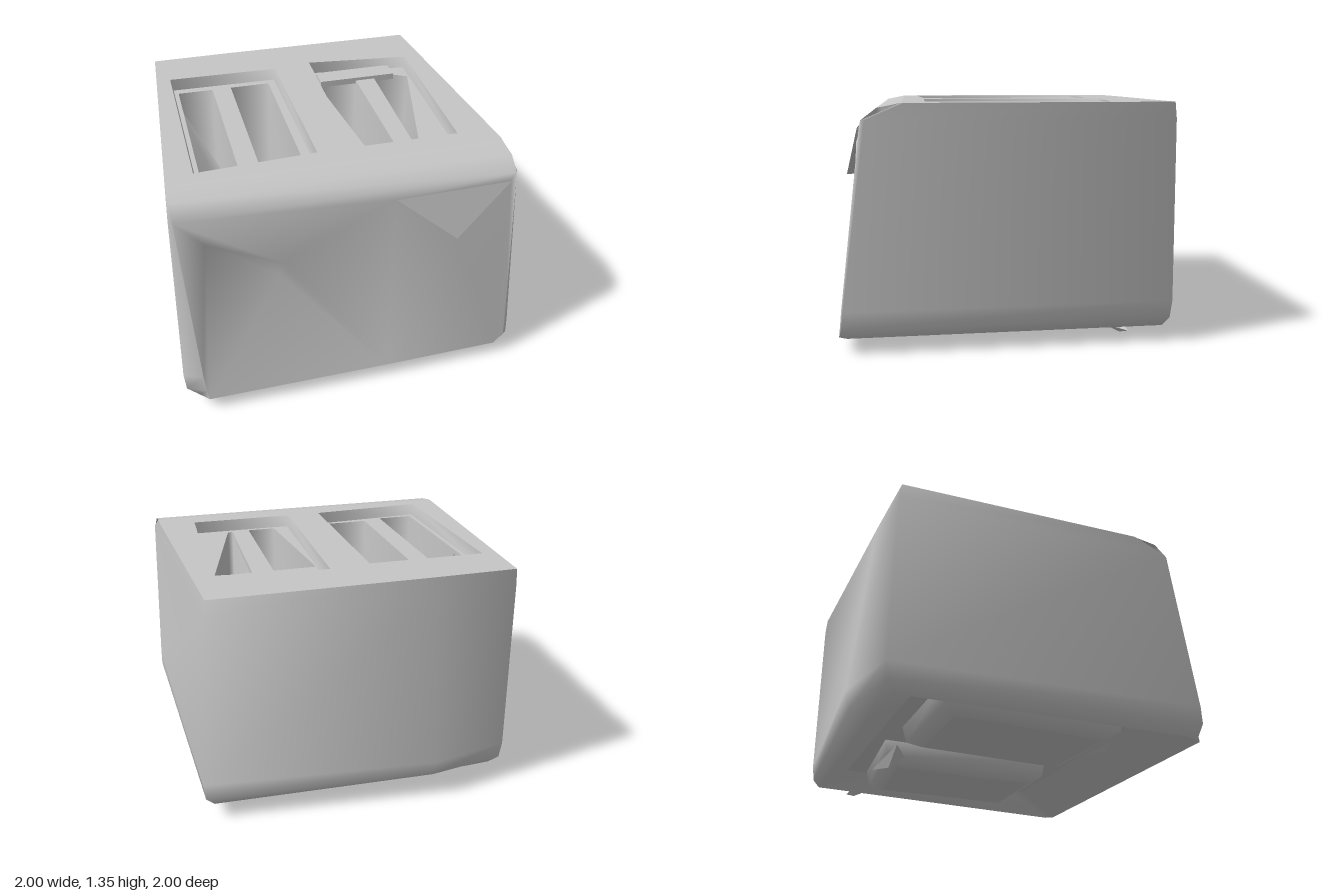
import * as THREE from 'three';

export function createModel() {
  const model = new THREE.Group();
  const grey = new THREE.MeshStandardMaterial({ color: 0xc6c6c6, side: THREE.DoubleSide });
  grey.name = 'plain grey';

  const add = (name, geometry) => {
    const mesh = new THREE.Mesh(geometry, grey);
    mesh.name = name;
    model.add(mesh);
    return mesh;
  };

  // Geometry from points and triangles, smooth or flat
  const surface = (points, faces, flat) => {
    let g = new THREE.BufferGeometry();
    g.setAttribute('position', new THREE.Float32BufferAttribute(points.flat(), 3));
    g.setIndex(faces.flat());
    if (flat) g = g.toNonIndexed();
    g.computeVertexNormals();
    return g;
  };

  // Smooth skin between loops listed from top to bottom
  const loft = (loops, closed) => {
    const n = loops[0].length, faces = [];
    for (let i = 0; i < loops.length - 1; i++) {
      for (let j = 0; j < (closed ? n : n - 1); j++) {
        const k = (j + 1) % n, a = i * n + j, b = i * n + k, c = a + n, d = b + n;
        faces.push([a, b, d], [a, d, c]);
      }
    }
    return surface(loops.flat(), faces, false);
  };

  // Horizontal plate with holes, outlines given as [x, z]
  const plate = (outline, holes, y, down) => {
    const to2 = (pts) => pts.map(([x, z]) => new THREE.Vector2(x, -z));
    const shape = new THREE.Shape(to2(outline));
    shape.holes = holes.map((h) => new THREE.Path(to2(h)));
    const g = new THREE.ShapeGeometry(shape).rotateX(-Math.PI / 2);
    if (down) g.rotateZ(Math.PI).scale(-1, 1, 1);
    return g.translate(0, y, 0);
  };
  const rect = (x0, x1, z0, z1) => [[x0, z1], [x0, z0], [x1, z0], [x1, z1]];
  const at = (pts, y) => pts.map(([x, z]) => [x, y, z]);
  const flatten = (pts) => pts.map(([x, , z]) => [x, z]);

  // Body outlines, from the front left corner round the back to the front right
  const top = at([[-0.955, 0.63], [-0.96, 0.61], [-0.87, -0.875], [-0.4, -0.88],
    [0.87, -0.875], [0.965, 0.61], [0.96, 0.63]], 1.35);
  const shoulder = at([[-0.955, 0.84], [-0.975, 0.81], [-0.87, -0.885], [-0.4, -0.89],
    [0.885, -0.88], [0.975, 0.82], [0.965, 0.84]], 1.26);
  const skirt = at([[-0.89, 0.975], [-1.0, 0.93], [-0.87, -0.91], [-0.4, -1.0],
    [0.94, -0.87], [1.0, 0.955], [0.98, 0.965]], 0.24);
  const hem = at([[-0.88, 0.985], [-0.99, 0.94], [-0.86, -0.9], [-0.4, -0.97],
    [0.93, -0.86], [1.0, 0.965], [0.98, 0.975]], 0.14);
  const base = at([[-0.87, 1.0], [-0.92, 0.95], [-0.82, -0.85], [-0.4, -0.87],
    [0.88, -0.83], [0.95, 0.94], [0.92, 0.985]], 0.08);
  add('outerShell', loft([top, shoulder, skirt, hem, base], false));

  // Front panel with rounded top edge, a deep dent on one side and a ridge
  const front = [
    shoulder[0], shoulder[6], base[0], [0.2, 0.085, 1.0], base[6],
    [-0.8, 1.08, 0.83], [-0.4, 0.93, 0.89], [0.25, 1.22, 0.87],
    [0.6, 0.94, 0.9], [0.93, 1.22, 0.85], [-0.34, 0.52, 0.52],
    [-0.965, 1.325, 0.755], [0.965, 1.325, 0.755], top[0], top[6],
    skirt[0], hem[0], skirt[6], hem[6],
  ];
  add('frontPanel', surface(front, [
    [13, 11, 12], [13, 12, 14], [11, 0, 1], [11, 1, 12],
    [0, 15, 5], [15, 16, 5], [16, 2, 5], [5, 2, 10], [5, 10, 6], [10, 2, 3], [6, 10, 3],
    [6, 3, 7], [7, 3, 8], [8, 3, 4], [8, 4, 9], [9, 4, 18], [9, 18, 17], [9, 17, 1],
    [0, 5, 6], [0, 6, 7], [0, 7, 1], [7, 9, 1], [7, 8, 9],
  ], false));
  add('frontFlap', surface(
    [[0.25, 1.22, 0.875], [0.6, 0.94, 0.945], [0.93, 1.22, 0.86], [0.6, 0.94, 0.9]],
    [[0, 1, 2], [0, 3, 1], [1, 3, 2]], true));

  // Top deck with two bread openings
  const openings = [
    [[-0.8, 0.54], [-0.8, -0.58], [-0.11, -0.57], [-0.1, 0.5]],
    [[0.11, 0.5], [0.13, -0.6], [0.78, -0.53], [0.74, 0.5]],
  ];
  add('topDeck', plate(flatten(top), openings, 1.35));

  // Each opening funnels down to a pair of slots beside a bar
  const slots = [
    [rect(-0.76, -0.54, -0.51, 0.49), rect(-0.42, -0.17, -0.51, 0.46)],
    [
      [[0.22, 0.46], [0.14, -0.41], [0.4, -0.41], [0.39, 0.46]],
      [[0.5, 0.45], [0.53, -0.5], [0.75, -0.38], [0.53, 0.45]],
    ],
  ];
  openings.forEach((opening, i) => {
    const cx = i ? 0.445 : -0.455;
    const scaled = (sx, sz) => opening.map(([x, z]) => [cx + (x - cx) * sx, z * sz]);
    const inset = scaled(0.96, 0.97);
    add('openingRim', loft([at(opening, 1.35), at(inset, 1.28)], true));
    add('slotBar', plate(inset, slots[i], 1.28));
    slots[i].forEach((slot) => {
      const mx = slot.reduce((s, p) => s + p[0], 0) / 4;
      const foot = slot.map(([x, z]) => [mx + (x - mx) * 0.8, z * 0.9]);
      add('slotWell', loft([at(slot, 1.28), at(foot, 0.14)], true));
      add('slotFloor', plate(foot, [], 0.14));
    });
    // Crumb tray closing both wells from below
    const trayFoot = scaled(0.76, 0.82);
    add('crumbTray', loft([at(opening, 0.2), at(scaled(0.95, 0.96), 0.1), at(trayFoot, 0.06)], true));
    add('crumbTrayFloor', plate(trayFoot, [], 0.06, true));
  });

  // Sloping guide plates inside the wells
  const guide = (a, b, c, d) => add('breadGuide', surface([a, b, c, d], [[0, 1, 2], [0, 2, 3]], false));
  guide([-0.76, 1.26, -0.3], [-0.55, 0.9, -0.05], [-0.55, 0.7, 0.1], [-0.76, 0.9, 0.2]);
  guide([0.5, 1.26, 0.45], [0.53, 1.26, -0.4], [0.6, 0.7, -0.35], [0.52, 0.7, 0.4]);
  const bracket = add('slotBracket', new THREE.BoxGeometry(0.5, 0.04, 0.13));
  bracket.position.set(0.41, 1.28, -0.47);

  // Underside: rim sloping up into a shallow recess
  const recess = at([[-0.76, 0.66], [-0.82, 0.6], [-0.78, -0.67], [-0.4, -0.68],
    [0.8, -0.66], [0.82, 0.6], [0.76, 0.66]], 0.2);
  add('undersideRim', loft([base, recess], true));
  add('undersideCeiling', plate(flatten(recess), [], 0.2, true));

  // Small bent tabs under the body
  [[0.07, -0.59, 0.0, 0.25], [0.82, -0.6, 0.03, 0.08], [-0.6, 0.52, 0.04, 0.12]].forEach(([x, z, y, w]) => {
    add('bottomTab', surface(
      [[x - w, 0.06, z - 0.03], [x, y, z], [x + w, 0.06, z - 0.03], [x, 0.08, z + 0.1]],
      [[0, 1, 2], [1, 0, 3], [2, 1, 3]], true));
  });

  return model;
}
